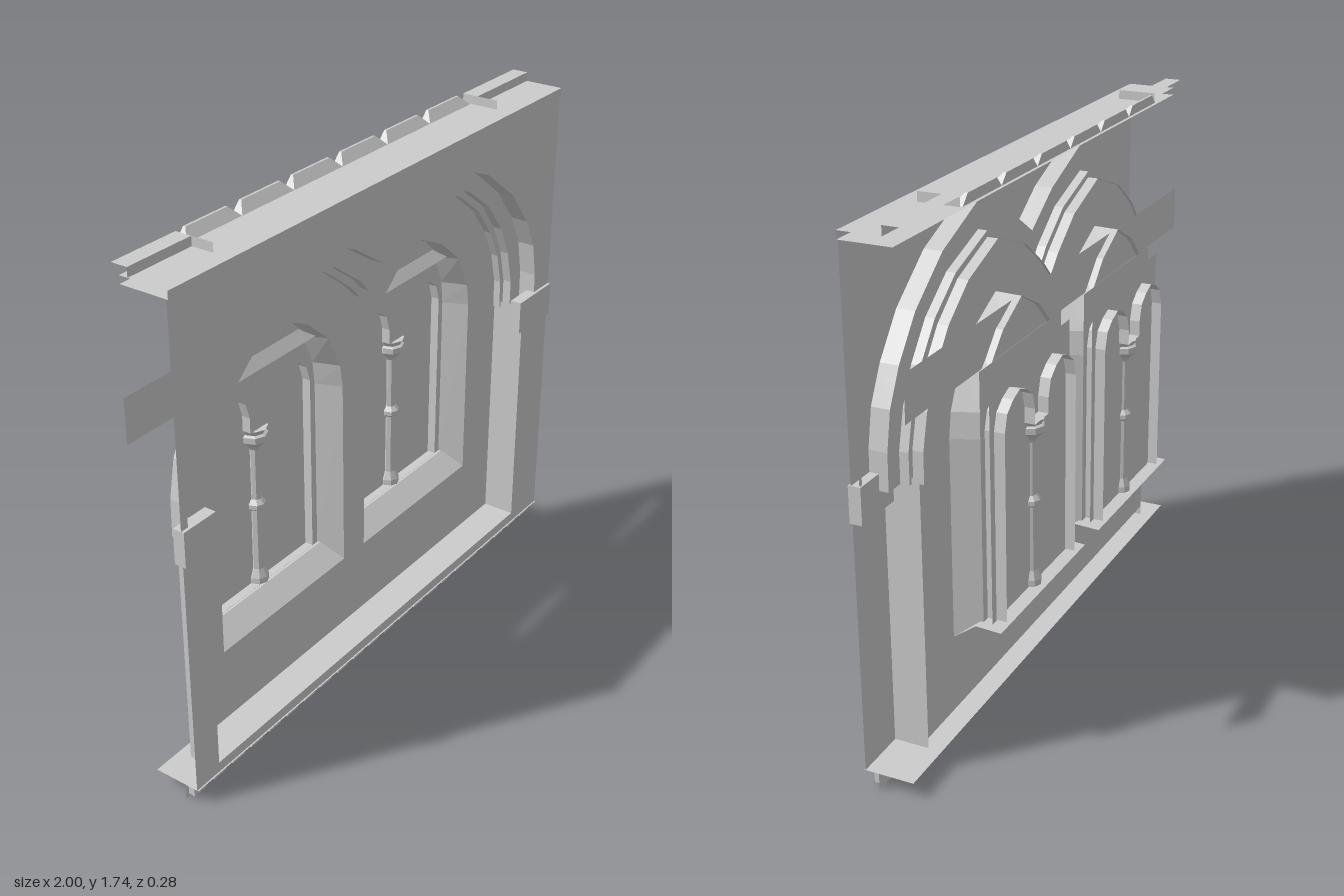
import * as THREE from 'three';

const mat = new THREE.MeshStandardMaterial({ color: 0xcccccc, flatShading: true, side: THREE.DoubleSide });
const MID = -0.035, SPAN = 0.37;             // centre of the arcade, half bay
const BAYS = [MID - SPAN, MID + SPAN];
const Z = { front: 0.13, ring1: 0.07, ring2: 0.04, panel: 0.015, tracery: -0.07, pane: -0.1, rear: -0.135 };

export function createModel() {
  const root = new THREE.Group();

  const add = (name, geo, x = 0, y = 0, z = 0, parent = root) => {
    const m = new THREE.Mesh(geo, mat);
    m.name = name;
    m.position.set(x, y, z);
    parent.add(m);
    return m;
  };
  const box = (name, x0, x1, y0, y1, z0, z1) =>
    add(name, new THREE.BoxGeometry(x1 - x0, y1 - y0, z1 - z0), (x0 + x1) / 2, (y0 + y1) / 2, (z0 + z1) / 2);
  const vec = (pts) => pts.map(([x, y]) => new THREE.Vector2(x, y));
  const sheet = (name, pts, z, holes = [], parent = root) => {
    const s = new THREE.Shape(vec(pts));
    holes.forEach((h) => s.holes.push(new THREE.Path(vec(h))));
    return add(name, new THREE.ShapeGeometry(s), 0, 0, z, parent);
  };
  const rect = (x0, x1, y0, y1) => [[x0, y0], [x1, y0], [x1, y1], [x0, y1]];
  // open ribbon joining two paths of 3D points
  const loft = (name, a, b, parent = root) => {
    const p = [];
    for (let i = 0; i < a.length - 1; i++) p.push(...a[i], ...a[i + 1], ...b[i + 1], ...a[i], ...b[i + 1], ...b[i]);
    const g = new THREE.BufferGeometry();
    g.setAttribute('position', new THREE.Float32BufferAttribute(p, 3));
    g.computeVertexNormals();
    return add(name, g, 0, 0, 0, parent);
  };
  const reveal = (name, a, z0, z1, parent, b = a) =>
    loft(name, a.map(([x, y]) => [x, y, z0]), b.map(([x, y]) => [x, y, z1]), parent);
  // strip along x following a [y, z] profile
  const run = (name, x0, x1, profile, parent) =>
    loft(name, profile.map(([y, z]) => [x0, y, z]), profile.map(([y, z]) => [x1, y, z]), parent);
  // half profile (foot to apex) mirrored into an arch about cx
  const arch = (half, cx) => [
    ...half.map(([d, y]) => [cx - d, y]),
    ...half.slice(0, -1).reverse().map(([d, y]) => [cx + d, y]),
  ];
  // two arches meeting in a valley over the middle
  const arcade = (half, valley) => {
    const left = [
      ...half.map(([d, y]) => [BAYS[0] - d, y]),
      ...half.filter(([d]) => d > 0 && d < SPAN - 0.01).reverse().map(([d, y]) => [BAYS[0] + d, y]),
    ];
    return [...left, [MID, valley], ...left.slice().reverse().map(([x, y]) => [2 * MID - x, y])];
  };

  const outer = arcade([[0.567, 0.93], [0.565, 1.05], [0.542, 1.17], [0.485, 1.28], [0.385, 1.405], [0.22, 1.53], [0, 1.62]], 1.43);
  const middle = arcade([[0.502, 0.93], [0.502, 1.03], [0.472, 1.15], [0.418, 1.26], [0.33, 1.37], [0.2, 1.465], [0, 1.535]], 1.326);
  const inner = arcade([[0.482, 0.93], [0.48, 1.03], [0.452, 1.14], [0.398, 1.245], [0.315, 1.35], [0.19, 1.445], [0, 1.515]], 1.295);
  const pierL = BAYS[0] - 0.49, pierR = BAYS[1] + 0.49;
  const recess = (top) => [[pierL, 0.09], [pierL, 0.93], ...top, [pierR, 0.93], [pierR, 0.09]];

  // front wall, cut out around the arcade and its piers
  sheet('frontWall', rect(-1, 1, 0.055, 1.68), Z.front, [recess(outer)]);
  for (const x of [pierL, pierR]) reveal('pierSide', [[x, 0.055], [x, 0.95]], Z.front, Z.panel);
  run('baseLedge', pierL, pierR, [[0.09, Z.front], [0.09, Z.panel]]);

  // stepped arch mouldings
  reveal('outerArchSoffit', outer, Z.front, Z.ring1);
  sheet('outerArchRing', [...outer, ...middle.slice().reverse()], Z.ring1);
  reveal('middleArchSoffit', middle, Z.ring1, Z.ring2);
  sheet('innerArchRing', [...middle, ...inner.slice().reverse()], Z.ring2);
  reveal('innerArchSoffit', inner, Z.ring2, Z.panel - 0.01);

  // recessed panel with two window openings
  const opening = [[0.313, 0.345], [0.31, 1.0], [0.297, 1.08], [0.237, 1.2], [0.13, 1.29], [0, 1.352]];
  const splayed = [[0.278, 0.4], [0.276, 1.0], [0.266, 1.08], [0.22, 1.19], [0.125, 1.285], [0, 1.35]];
  sheet('recessedPanel', recess(inner), Z.panel, BAYS.map((cx) => arch(opening, cx)));

  // windows: splayed reveal, sill, twin lancets sharing a colonnette
  const lancet = [[0.102, 0.4], [0.102, 1.02], [0.085, 1.075], [0.045, 1.105], [0, 1.122]];
  const shaft = [[0, 0.4], [0.034, 0.4], [0.034, 0.42], [0.022, 0.45], [0.02, 0.67], [0.032, 0.68], [0.032, 0.695],
    [0.018, 0.71], [0.018, 0.89], [0.026, 0.905], [0.046, 0.925], [0.046, 0.945], [0.036, 0.95], [0.046, 0.968], [0, 0.968]];
  for (const cx of BAYS) {
    const w = new THREE.Group();
    w.name = 'window';
    root.add(w);
    const x0 = cx - 0.313, x1 = cx + 0.313;
    reveal('windowReveal', arch(opening, cx), Z.panel, Z.tracery, w, arch(splayed, cx));
    run('sill', x0, x1, [[0.345, Z.panel], [0.4, -0.06], [0.395, -0.145]], w);
    const left = arch(lancet, cx - 0.15), right = arch(lancet, cx + 0.15);
    left[left.length - 1] = [cx - 0.048, 0.968];
    right[0] = [cx + 0.048, 0.968];
    const twin = [...left, ...right];
    sheet('tracery', rect(cx - 0.28, cx + 0.28, 0.39, 1.21), Z.tracery, [twin], w);
    reveal('lancetReveal', twin, Z.tracery, Z.rear, w);
    sheet('windowPane', rect(cx - 0.28, cx + 0.28, 0.395, 1.19), Z.pane, [], w);
    add('colonnette', new THREE.LatheGeometry(vec(shaft), 8), cx - 0.003, 0, Z.pane + 0.005, w);
    run('lintelSlope', cx - 0.225, cx + 0.225, [[1.205, -0.02], [1.24, -0.048]], w);
  }
  // long board behind the window heads
  sheet('rearBoard', rect(-1, 1, 1.195, 1.34), -0.048);

  // shallow pier capitals
  box('pierCapital', -1, -0.865, 0.865, 0.982, 0.1, 0.14);
  box('pierCapital', 0.792, 1, 0.865, 0.982, 0.1, 0.14);
  sheet('sideFragment', [[0.982, 0.98], [0.995, 0.93], [1, 1.13], [0.986, 1.09]], 0.105);

  // cornice ledges, end fillets and notched sloping blocks between
  run('corniceLedge', -1, 1, [[1.68, -0.03], [1.68, 0.135], [1.705, 0.135], [1.705, -0.03]]);
  for (const [x0, x1, end] of [[-1, -0.75, -0.75], [0.68, 1, 0.68]]) {
    run('corniceFillet', x0, x1, [[1.705, 0.0], [1.735, 0.0], [1.735, -0.055]]);
    loft('filletEnd', [[end, 1.705, 0.075], [end, 1.705, -0.055]], [[end, 1.735, 0.075], [end, 1.735, -0.055]]);
  }
  const pitch = 0.236, half = pitch / 2;
  const block = new THREE.ExtrudeGeometry(
    new THREE.Shape(vec([[-half, 0], [half, 0], [half - 0.03, 0.031], [0.03 - half, 0.031]])),
    { depth: 0.035, bevelEnabled: false });
  const bp = block.attributes.position;
  for (let i = 0; i < bp.count; i++) if (bp.getY(i) > 0.02 && bp.getZ(i) > 0.02) bp.setZ(i, 0.008);
  block.computeVertexNormals();
  for (let i = 0; i < 6; i++) add('corniceBlock', block, MID + (i - 2.5) * pitch, 1.705, -0.06);

  // foot ledge and dentil course
  run('footLedge', -1, 1, [[0.055, 0.135], [0.055, -0.03]]);
  sheet('dentilBand', rect(-1, 1, 0, 0.055), 0.085);
  for (let i = 0; i < 22; i++) {
    const x = -0.96 + i * 0.0914;
    box('dentil', x - 0.028, x + 0.028, 0.012, 0.05, 0.085, 0.108);
  }
  return root;
}
